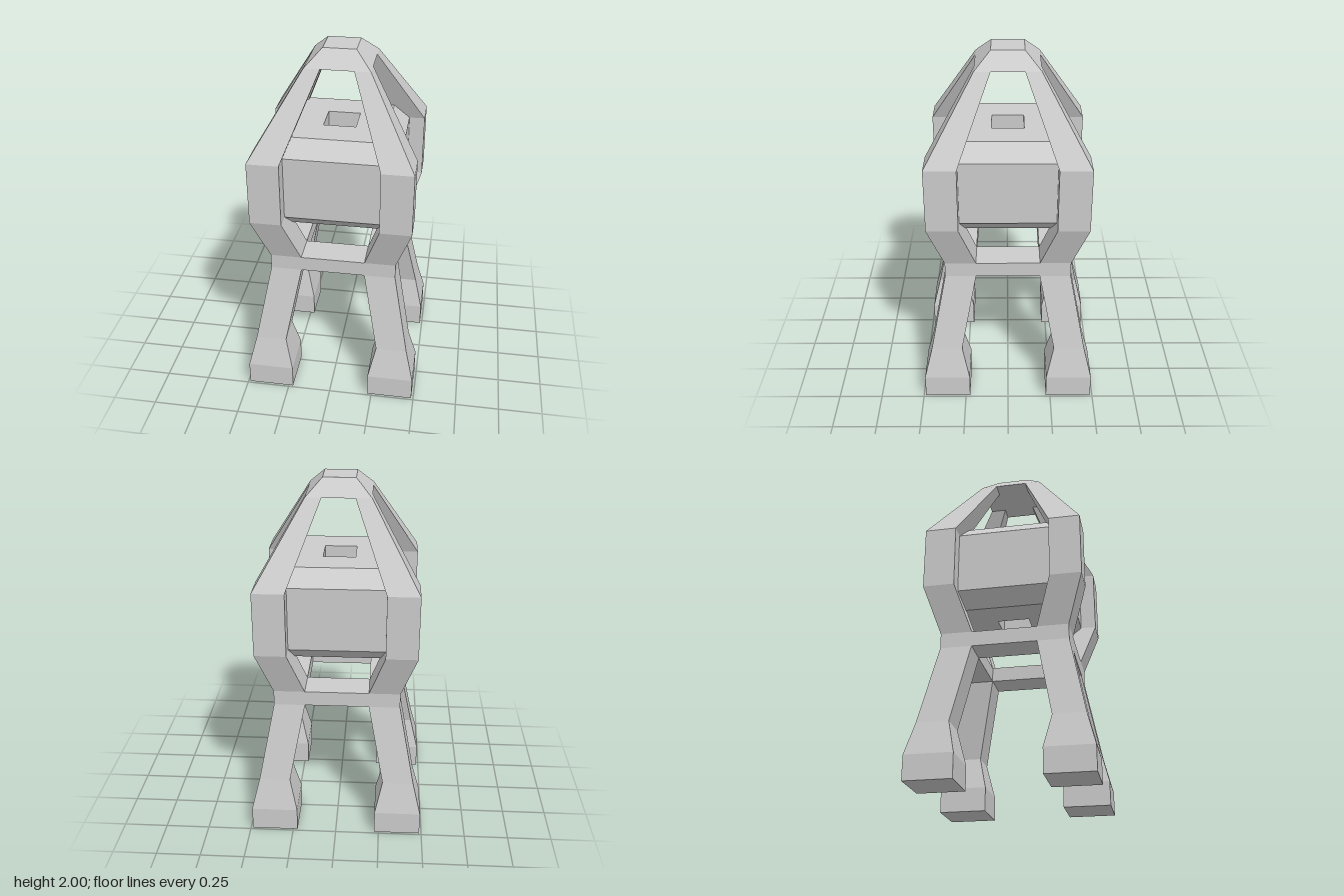
import * as THREE from 'three';

const material = new THREE.MeshStandardMaterial({ color: 0xcccccc, flatShading: true, side: THREE.DoubleSide });
const CORNERS = [[1, 1], [1, -1], [-1, -1], [-1, 1]];

// Skin over a run of square sections [y, half width, centre offset along x and z]
function squareLoft(name, sections) {
  const rings = sections.map(([y, half, offset = 0]) =>
    CORNERS.map(([x, z]) => [offset + x * half, y, offset + z * half]));
  const points = [];
  for (let i = 0; i < rings.length - 1; i++) {
    for (let j = 0; j < 4; j++) {
      const k = (j + 1) % 4;
      const a = rings[i][j], b = rings[i][k], c = rings[i + 1][k], d = rings[i + 1][j];
      if (sections[i][1] > 0) points.push(...a, ...b, ...c);
      if (sections[i + 1][1] > 0) points.push(...a, ...c, ...d);
      else points.push();
    }
  }
  const geometry = new THREE.BufferGeometry();
  geometry.setAttribute('position', new THREE.Float32BufferAttribute(points, 3));
  geometry.computeVertexNormals();
  const mesh = new THREE.Mesh(geometry, material);
  mesh.name = name;
  return mesh;
}

export function createModel() {
  const group = new THREE.Group();
  group.name = 'tower';

  // Four bent corner legs: [height, inner edge, outer edge]
  const legProfile = [
    [0, 0.225, 0.488], [0.135, 0.225, 0.488], [0.315, 0.267, 0.443],
    [0.765, 0.18, 0.355], [0.85, 0.18, 0.355], [1.11, 0.267, 0.443],
    [1.47, 0.267, 0.443], [1.912, 0.09, 0.178],
  ];
  const legSections = legProfile.map(([y, inner, outer]) => [y, (outer - inner) / 2, (outer + inner) / 2]);
  const first = legSections[0];
  const last = legSections[legSections.length - 1];
  const sections = [[first[0], 0, first[2]], ...legSections, [last[0], 0, last[2]]];
  for (let i = 0; i < 4; i++) {
    const leg = squareLoft('leg' + (i + 1), sections);
    leg.rotation.y = i * Math.PI / 2;
    group.add(leg);
  }

  // Cap joining the legs at the top
  group.add(squareLoft('topCap', [[1.912, 0], [1.912, 0.178], [2, 0.09], [2, 0]]));

  // Chamfered block with a square shaft through it
  group.add(squareLoft('centralBlock', [
    [1.028, 0.09], [1.028, 0.267], [1.11, 0.355], [1.47, 0.355],
    [1.558, 0.267], [1.558, 0.09], [1.028, 0.09],
  ]));

  // Square ring bracing the legs
  group.add(squareLoft('braceRing', [
    [0.765, 0.18], [0.765, 0.355], [0.85, 0.355], [0.85, 0.18], [0.765, 0.18],
  ]));

  return group;
}
